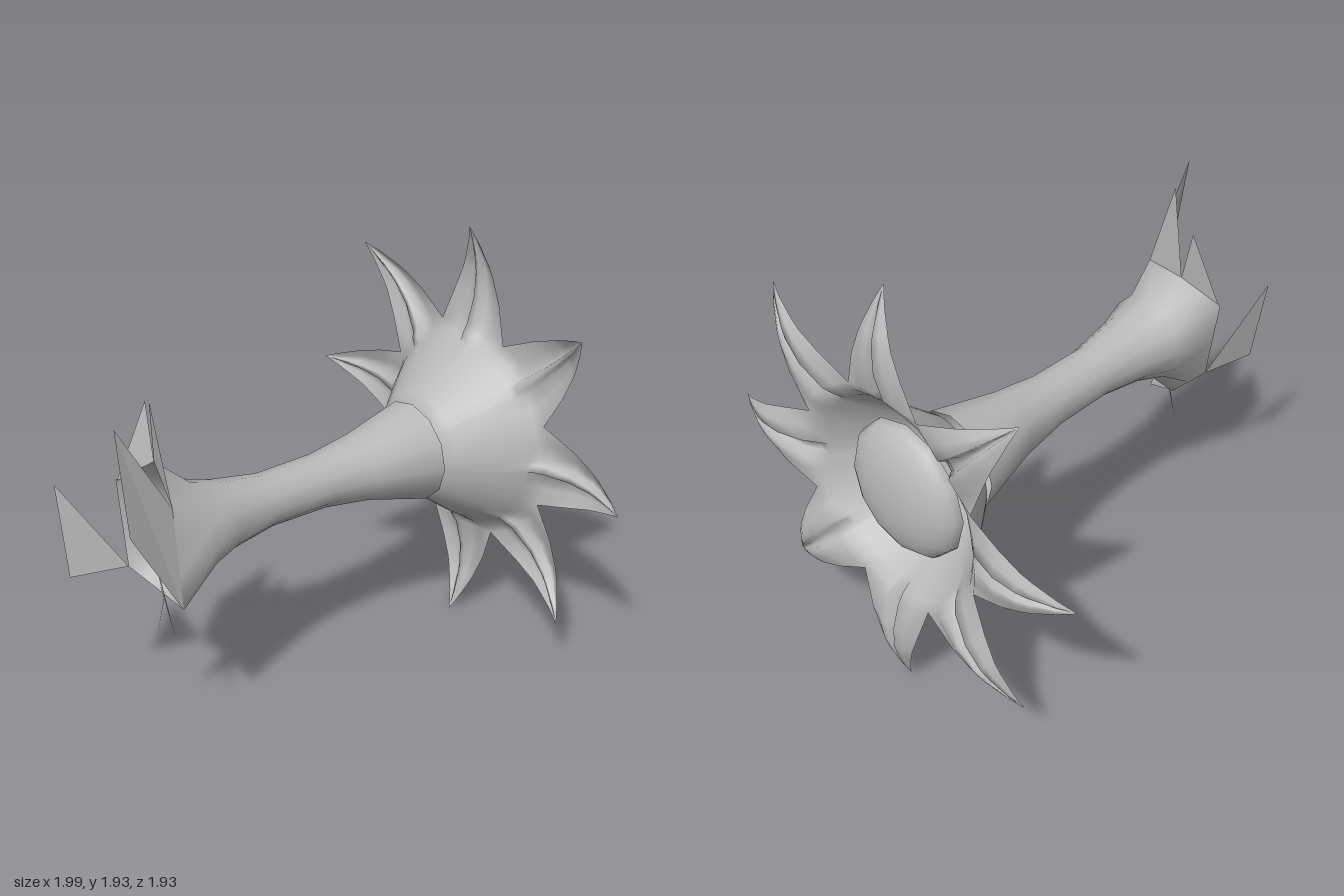
import * as THREE from 'three';
import { mergeVertices } from 'three/addons/utils/BufferGeometryUtils.js';

const AXIS_Y = 0.975;

// Skin a list of equally long rows of [x, y, z] points
function loft(rows) {
  const pos = [], idx = [], n = rows[0].length;
  rows.forEach(row => row.forEach(p => pos.push(...p)));
  for (let i = 0; i < rows.length - 1; i++) {
    for (let j = 0; j < n - 1; j++) {
      const a = i * n + j, b = a + 1, c = a + n, d = c + 1;
      idx.push(a, b, c, b, d, c);
    }
  }
  const g = new THREE.BufferGeometry();
  g.setAttribute('position', new THREE.Float32BufferAttribute(pos, 3));
  g.setIndex(idx);
  const merged = mergeVertices(g, 1e-4);
  merged.computeVertexNormals();
  return merged;
}

// Flat shard: fan over a few corners
function shard(points) {
  const g = new THREE.BufferGeometry();
  g.setAttribute('position', new THREE.Float32BufferAttribute(points.flat(), 3));
  const idx = [];
  for (let i = 1; i < points.length - 1; i++) idx.push(0, i, i + 1);
  g.setIndex(idx);
  const flat = g.toNonIndexed();
  flat.computeVertexNormals();
  return flat;
}

// Torn stem end: corners as [step of 30 degrees, x, y, z]
function tornRing() {
  const keys = [
    [0, -0.67, 1.31, -0.08], [1, -0.76, 1.25, 0.18], [4, -0.76, 0.81, 0.23],
    [6, -0.67, 0.70, -0.06], [8, -0.76, 0.81, -0.17], [10, -0.76, 1.19, -0.23],
    [12, -0.67, 1.31, -0.08],
  ];
  const ring = [];
  for (let i = 0; i <= 12; i++) {
    let k = 0;
    while (k < keys.length - 2 && keys[k + 1][0] < i) k++;
    const a = keys[k], b = keys[k + 1], t = (i - a[0]) / (b[0] - a[0]);
    ring.push([1, 2, 3].map(c => a[c] + (b[c] - a[c]) * t));
  }
  return ring;
}

function stemGeometry() {
  // x, centre height, radius
  const stations = [
    [-0.56, 1.02, 0.195], [-0.42, 1.017, 0.15], [-0.2, 1.007, 0.115],
    [0.08, 0.998, 0.118], [0.3, 0.99, 0.15], [0.6, 0.971, 0.225],
  ];
  const rows = [tornRing()];
  for (const [x, cy, r] of stations) {
    const row = [];
    for (let i = 0; i <= 12; i++) {
      const a = (i % 12) * Math.PI / 6;
      row.push([x, cy + r * Math.cos(a), 0.007 + r * Math.sin(a)]);
    }
    rows.push(row);
  }
  return loft(rows);
}

// Cup and eight petals in one sheet, each petal with a channel down its middle
function blossomGeometry() {
  const across = [-1, -0.55, -0.19, -0.1, 0.1, 0.19, 0.55, 1];
  // x, distance from axis, half width (0 = round cup), channel depth, edge drop
  const rows = [
    [0.6, 0.0, 0, 0, 0], [0.6, 0.17, 0, 0, 0], [0.65, 0.245, 0, 0, 0], [0.8, 0.365, 0, 0, 0],
    [0.89, 0.43, 0, 0, 0], [0.935, 0.465, 0, 0.035, 0.01], [0.965, 0.505, 0, 0.04, 0.025],
    [0.992, 0.63, 0.138, 0.04, 0.035], [0.985, 0.74, 0.094, 0.035, 0.03],
    [0.972, 0.79, 0.075, 0.03, 0.025], [0.93, 0.89, 0.033, 0.015, 0.01],
    [0.89, 0.965, 0, 0, 0],
  ];
  const grid = rows.map(() => []);
  const parts = [];
  for (let p = 0; p < 8; p++) {
    const A = p * Math.PI / 4, petal = rows.map(([x, r, w, groove, drop], i) => across.map(f => {
      const round = i < 7, h = f * Math.PI / 8;
      const s = round ? r * Math.cos(h) : r;
      const l = round ? r * Math.sin(h) : w * f;
      const dx = Math.abs(f) < 0.15 ? groove : drop * f * f;
      return [x - dx,
        AXIS_Y + s * Math.cos(A) - l * Math.sin(A),
        s * Math.sin(A) + l * Math.cos(A)];
    }));
    parts.push(petal);
  }
  // Lay the petals side by side so the cup shares its vertices
  parts.forEach(petal => petal.forEach((row, i) => grid[i].push(row)));
  const pos = [];
  const quad = (a, b, c, d) => pos.push(...a, ...b, ...c, ...b, ...d, ...c);
  for (let i = 0; i < rows.length - 1; i++) {
    for (let p = 0; p < 8; p++) {
      for (let j = 0; j < across.length - 1; j++) {
        const lo = grid[i][p], hi = grid[i + 1][p];
        quad(lo[j], lo[j + 1], hi[j], hi[j + 1]);
      }
    }
  }
  const g = new THREE.BufferGeometry();
  g.setAttribute('position', new THREE.Float32BufferAttribute(pos, 3));
  const merged = mergeVertices(g, 1e-4);
  merged.computeVertexNormals();
  return merged;
}

export function createModel() {
  const model = new THREE.Group();
  model.name = 'flower';
  const grey = new THREE.MeshStandardMaterial({ color: 0xbababa, side: THREE.DoubleSide });
  grey.name = 'grey';
  const add = (name, geometry) => {
    const mesh = new THREE.Mesh(geometry, grey);
    mesh.name = name;
    model.add(mesh);
    return mesh;
  };

  add('stem', stemGeometry());
  add('blossom', blossomGeometry());

  // Domed flower centre facing +x
  const dome = new THREE.SphereGeometry(1, 12, 6, 0, Math.PI * 2, 0, Math.PI / 2);
  dome.scale(0.305, 0.13, 0.305);
  dome.rotateZ(-Math.PI / 2);
  add('flowerCentre', dome).position.set(0.83, AXIS_Y, 0);

  // Shards around the torn end
  const shards = {
    frontShard: [[-0.99, 1.66, 0.17], [-0.99, 1.23, 0.24], [-0.76, 0.81, 0.23], [-0.76, 1.25, 0.18]],
    backShard: [[-1, 1.22, -0.3], [-1, 0.82, -0.23], [-0.76, 0.81, -0.17]],
    topShard: [[-0.76, 1.66, 0.05], [-0.76, 1.25, 0.18], [-0.67, 1.31, -0.08]],
    topBackShard: [[-0.66, 1.55, -0.14], [-0.67, 1.31, -0.08], [-0.76, 1.19, -0.22]],
    lowerShard: [[-0.75, 1.0, 0], [-0.74, 0.61, 0.13], [-0.67, 0.71, -0.07]],
    bottomShard: [[-0.74, 0.51, -0.02], [-0.65, 0.70, -0.07], [-0.74, 0.78, 0.06]],
  };
  for (const [name, points] of Object.entries(shards)) add(name, shard(points));
  return model;
}
